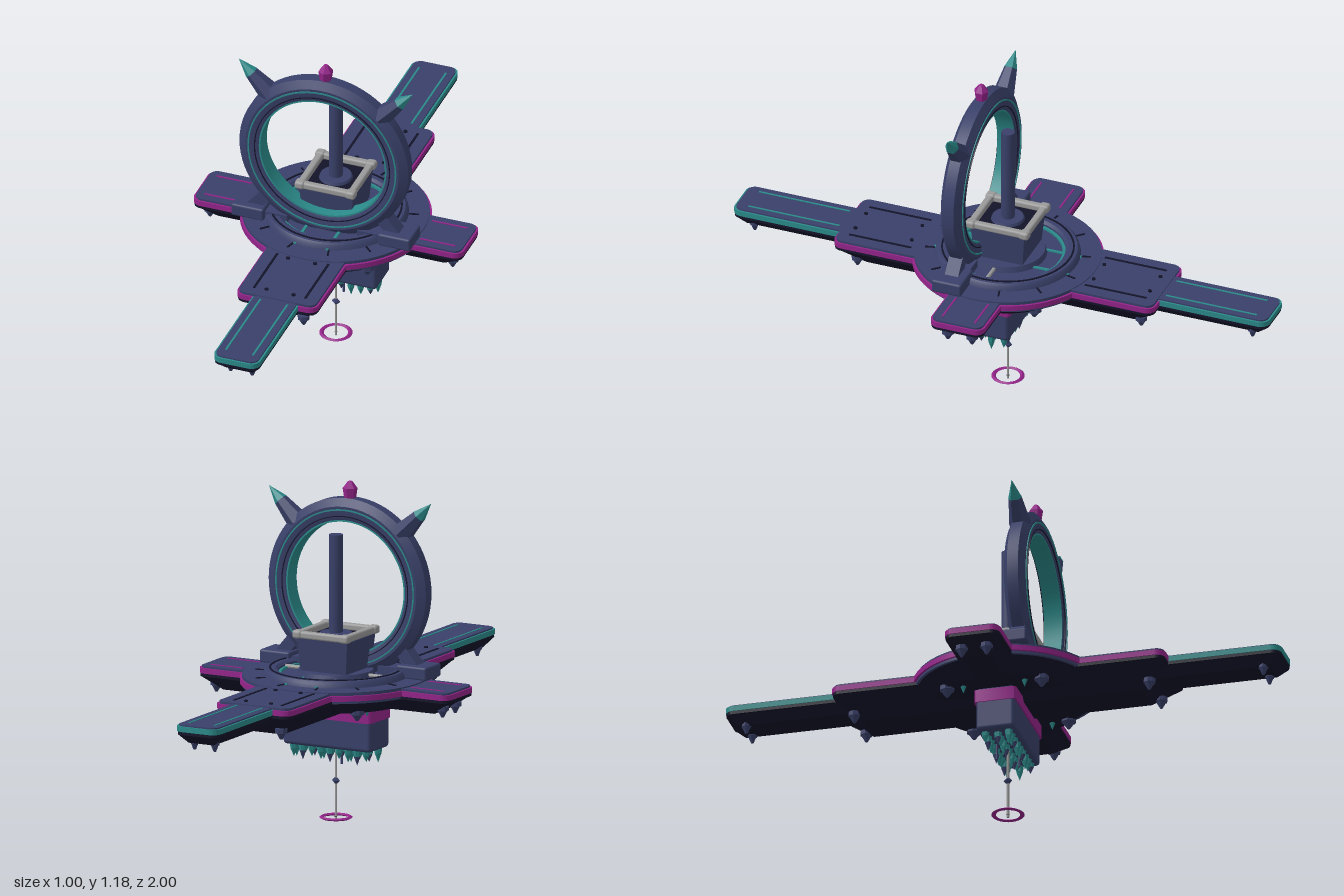
import * as THREE from 'three';
import { toCreasedNormals } from 'three/addons/utils/BufferGeometryUtils.js';
import { RoundedBoxGeometry } from 'three/addons/geometries/RoundedBoxGeometry.js';

const mat = (name, color) => Object.assign(new THREE.MeshStandardMaterial({ color }), { name });

export function createModel() {
  const navy = mat('navy', 0x394069), dark = mat('dark hull', 0x14142a);
  const teal = mat('teal', 0x2b8a8a), magenta = mat('magenta', 0x94248a), grey = mat('grey', 0x9a9a9a);
  const model = new THREE.Group();
  model.name = 'floatingStation';

  const add = (name, geo, material, x = 0, y = 0, z = 0, parent = model) => {
    const m = new THREE.Mesh(geo, material);
    m.name = name;
    m.position.set(x, y, z);
    parent.add(m);
    return m;
  };
  const box = (w, h, d) => new THREE.BoxGeometry(w, h, d);
  const crease = (g) => toCreasedNormals(g, 0.6);
  const cyl = (rt, rb, h, n = 16) => crease(new THREE.CylinderGeometry(rt, rb, h, n));
  // closed ring from a counterclockwise (radius, height) profile
  const lathe = (pts, n = 64) => crease(new THREE.LatheGeometry(
    [...pts, pts[0]].map(([r, y]) => new THREE.Vector2(r, y)), n));
  const band = (r0, r1, y0, y1) => lathe([[r0, y0], [r1, y0], [r1, y1], [r0, y1]]);
  // rounded slab lying flat, from y0 to y1
  const slab = (w, d, r, y0, y1) => {
    const s = new THREE.Shape(), a = w / 2, b = d / 2;
    s.moveTo(a, -b + r);
    s.absarc(a - r, b - r, r, 0, Math.PI / 2);
    s.absarc(-a + r, b - r, r, Math.PI / 2, Math.PI);
    s.absarc(-a + r, -b + r, r, Math.PI, Math.PI * 1.5);
    s.absarc(a - r, -b + r, r, Math.PI * 1.5, Math.PI * 2);
    const g = new THREE.ExtrudeGeometry(s, { depth: y1 - y0, bevelEnabled: false, curveSegments: 5 });
    return crease(g.rotateX(-Math.PI / 2).translate(0, y0, 0));
  };
  // box whose underside is inset
  const keel = (w, d, insetX, insetZ, y0, y1) => {
    const g = box(w, y1 - y0, d).translate(0, (y0 + y1) / 2, 0), p = g.attributes.position;
    for (let i = 0; i < p.count; i++) {
      if (p.getY(i) > (y0 + y1) / 2) continue;
      p.setX(i, p.getX(i) - Math.sign(p.getX(i)) * insetX);
      p.setZ(i, p.getZ(i) - Math.sign(p.getZ(i)) * insetZ);
    }
    g.computeVertexNormals();
    return g;
  };

  // Deck arms: navy plate, coloured edge trim, dark keel
  const arm = (name, w, d, trim, top, bottom, inX, inZ) => {
    add(name + 'Plate', slab(w - 0.014, d - 0.014, 0.028, 0.48, top), navy);
    add(name + 'Trim', slab(w, d, 0.034, 0.49, 0.509), trim);
    add(name + 'Groove', slab(w - 0.006, d - 0.006, 0.03, 0.479, 0.49), dark);
    add(name + 'Keel', keel(w - 0.02, d - 0.02, inX, inZ, bottom, 0.48), dark);
  };
  arm('longArm', 0.17, 2, teal, 0.514, 0.445, 0.025, 0.035);
  arm('middleArm', 0.3, 1.2, magenta, 0.517, 0.403, 0.07, 0.09);
  arm('crossArm', 1, 0.2, magenta, 0.5155, 0.43, 0.07, 0.04);

  // Round deck
  add('deckPlate', cyl(0.326, 0.326, 0.04, 64), navy, 0, 0.5, 0);
  add('deckTrim', cyl(0.334, 0.334, 0.019, 64), magenta, 0, 0.4995, 0);
  add('deckKeel', cyl(0.32, 0.26, 0.05, 64), dark, 0, 0.458, 0);
  add('deckCollar', lathe([[0.2, 0.515], [0.255, 0.515], [0.25, 0.535], [0.242, 0.543], [0.21, 0.543], [0.2, 0.535]]), navy);
  add('collarLine', band(0.226, 0.232, 0.54, 0.546), dark);
  add('innerTealRing', band(0.19, 0.2, 0.518, 0.528), teal);
  for (let i = 0; i < 12; i++) {
    const a = (i + 0.5) * Math.PI / 6;
    add('deckMark', box(0.035, 0.004, 0.006), dark, 0.272 * Math.cos(a), 0.521, 0.272 * Math.sin(a)).rotation.y = -a;
  }

  // Surface lines, bolts and underside pods, mirrored to all quarters
  const pod = (x, y, z, s = 1) => {
    add('podCollar', cyl(0.022 * s, 0.022 * s, 0.016, 8), navy, x, y, z);
    add('podTip', cyl(0.018 * s, 0.005, 0.024, 8), navy, x, y - 0.02, z);
  };
  for (const sx of [-1, 1]) for (const sz of [-1, 1]) {
    add('longArmLine', box(0.007, 0.004, 0.34), teal, sx * 0.05, 0.514, sz * 0.78);
    add('middleArmLine', box(0.008, 0.004, 0.23), dark, sx * 0.095, 0.5175, sz * 0.44);
    add('crossArmLine', box(0.13, 0.004, 0.006), magenta, sx * 0.4, 0.516, sz * 0.06);
    add('deckStrip', box(0.01, 0.006, 0.24), teal, sx * 0.06, 0.522, sz * 0.13);
    for (const z of [0.55, 0.34])
      add('bolt', cyl(0.007, 0.007, 0.006, 8), dark, sx * 0.05, 0.519, sz * z);
    pod(sx * 0.45, 0.452, sz * 0.045);
    pod(sx * 0.04, 0.45, sz * 0.93, 0.8);
    pod(sx * 0.08, 0.424, sz * 0.53);
    pod(sx * 0.18, 0.434, sz * 0.17, 1.2);
    add('hubCrystal', cyl(0.014, 0, 0.035, 6), teal, sx * 0.185, 0.424, sz * 0.11);
  }
  for (const s of [-1, 1])
    add('deckPipe', cyl(0.007, 0.007, 0.12, 8), grey, s * 0.15, 0.528, 0).rotation.z = Math.PI / 2;

  // Upright ring gate
  const gate = new THREE.Group();
  gate.name = 'gate';
  gate.position.set(0, 0.815, 0.1);
  model.add(gate);
  const ringUp = (name, geo, m) => add(name, geo.rotateX(Math.PI / 2), m, 0, 0, 0, gate);
  ringUp('gateRing', lathe([[0.233, -0.03], [0.245, -0.036], [0.285, -0.038], [0.313, -0.02],
    [0.313, 0.02], [0.285, 0.038], [0.245, 0.036], [0.233, 0.03]], 72), navy);
  ringUp('gateInnerLine', band(0.231, 0.238, -0.032, 0.032), teal);
  for (const s of [-1, 1]) {
    const z = s * 0.0375;
    ringUp('gateFaceLine', band(0.271, 0.276, z - 0.003, z + 0.003), teal);
    ringUp('gateGroove', band(0.249, 0.252, z - 0.002, z + 0.002), dark);
    // Horn
    const horn = new THREE.Group();
    horn.name = 'horn';
    horn.rotation.z = -s * Math.PI / 4;
    gate.add(horn);
    add('hornBase', cyl(0.024, 0.04, 0.1, 6), navy, 0, 0.34, 0, horn);
    add('hornTip', cyl(0, 0.025, 0.068, 6), teal, 0, 0.423, 0, horn);
    // Foot and brace
    add('gateFoot', new RoundedBoxGeometry(0.12, 0.048, 0.11, 2, 0.008), navy, s * 0.272, 0.541, 0.1);
    add('gateFootStep', box(0.09, 0.034, 0.075), navy, s * 0.175, 0.533, 0.1);
    add('gateBrace', box(0.045, 0.12, 0.05), navy, s * 0.232, 0.588, 0.1).rotation.z = s * 0.7;
  }
  // Crown crystal
  add('crystalBase', cyl(0.026, 0.02, 0.042, 6), magenta, 0, 0.325, 0, gate);
  add('crystalTip', cyl(0.008, 0.026, 0.024, 6), magenta, 0, 0.358, 0, gate);

  // Central tower and mast
  add('towerBase', cyl(0.13, 0.14, 0.03, 32), navy, 0, 0.525, 0);
  add('tower', keel(0.2, 0.2, 0.012, 0.012, 0.52, 0.655), navy);
  add('towerGroove', box(0.194, 0.006, 0.194), dark, 0, 0.656, 0);
  for (const s of [-1, 1]) {
    add('towerRimSide', new RoundedBoxGeometry(0.026, 0.026, 0.2, 2, 0.008), grey, s * 0.093, 0.669, 0);
    add('towerRimEnd', new RoundedBoxGeometry(0.2, 0.026, 0.026, 2, 0.008), grey, 0, 0.669, s * 0.1);
    for (const t of [-1, 1])
      add('towerRimCorner', new RoundedBoxGeometry(0.036, 0.03, 0.036, 2, 0.01), grey, s * 0.094, 0.67, t * 0.1);
  }
  add('mastSocket', cyl(0.055, 0.06, 0.012, 24), navy, 0, 0.663, 0);
  add('mast', cyl(0.024, 0.024, 0.5, 12), navy, 0, 0.765, 0);

  // Hanging pod with crystal clusters
  add('gondola', new RoundedBoxGeometry(0.35, 0.16, 0.14, 3, 0.014), navy, 0, 0.347, 0);
  add('gondolaBand', slab(0.358, 0.152, 0.014, 0.372, 0.418), magenta);
  for (let i = 0; i < 9; i++) for (let j = -1; j <= 1; j++) {
    const x = (i - 4) * 0.036 + (j ? 0 : 0.012), z = j * 0.042, h = 0.032 + ((i * 5 + j + 4) % 3) * 0.006;
    add('crystalCollar', cyl(0.015, 0.012, h * 0.6, 6), teal, x, 0.272 - h * 0.3, z);
    add('crystalPoint', cyl(0.012, 0, h * 0.75, 6), (i + j) % 3 ? teal : navy, x, 0.272 - h * 0.975, z);
  }
  for (const s of [-1, 1]) add('probe', cyl(0.004, 0.004, 0.06, 6), navy, s * 0.04, 0.24, 0.03 * s);

  // Tether with bead and landing ring
  add('tether', cyl(0.0045, 0.0045, 0.27, 8), grey, 0, 0.137, 0);
  add('tetherBead', crease(new THREE.OctahedronGeometry(0.016)), navy, 0, 0.142, 0);
  add('landingRing', lathe([[0.042, 0.012], [0.05, 0.007], [0.058, 0.012], [0.05, 0.017]], 32), magenta);
  add('tetherFoot', cyl(0.005, 0, 0.014, 8), dark, 0, 0.007, 0);

  return model;
}
